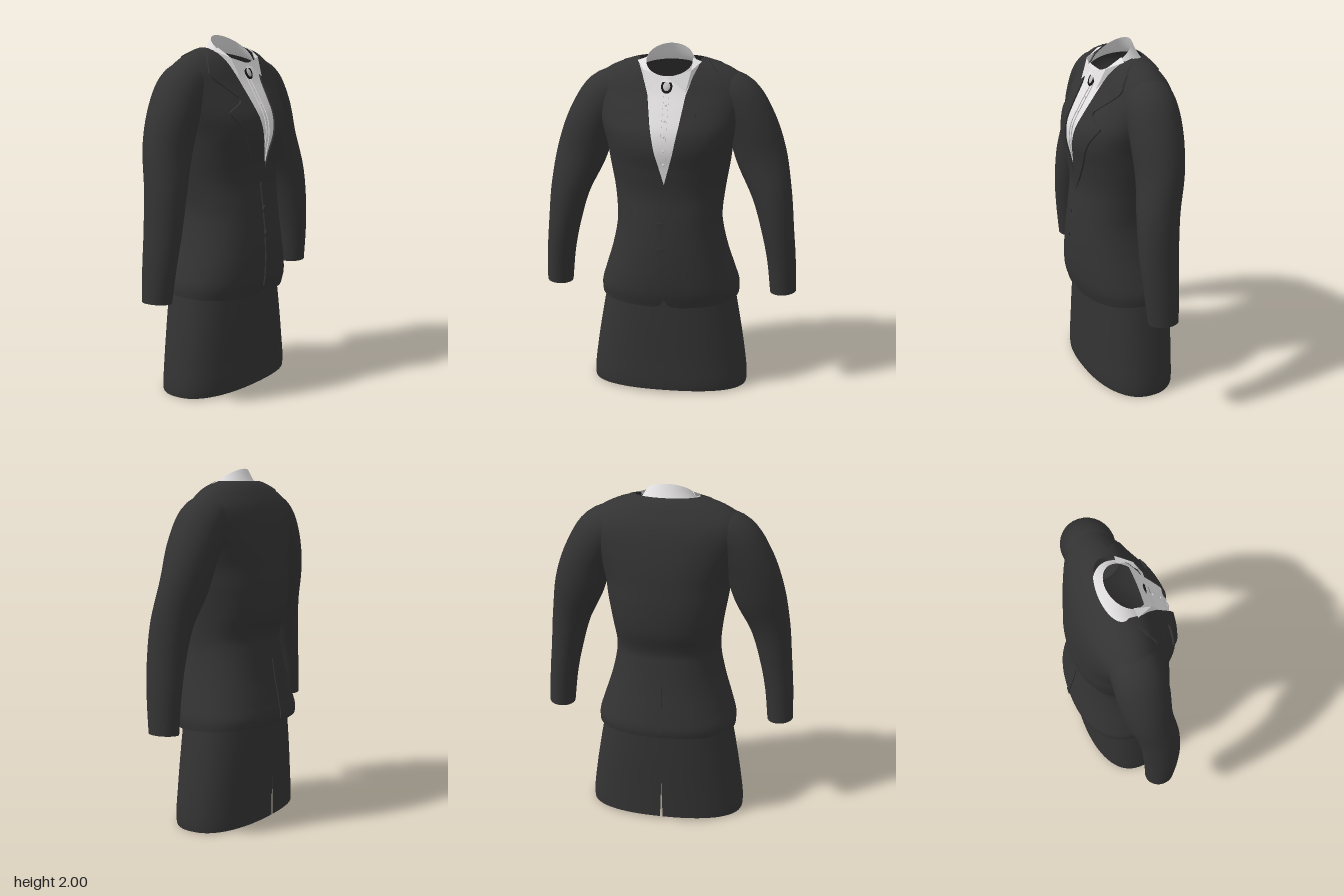
import * as THREE from 'three';
import { toCreasedNormals } from 'three/addons/utils/BufferGeometryUtils.js';

const { lerp, smoothstep } = THREE.MathUtils;
const table = (rows, Kind) => {
  const f = new Kind(rows.map(r => r[0]), rows.flatMap(r => r.slice(1)), rows[0].length - 1);
  return t => [...f.evaluate(t)];
};
const smooth = rows => table(rows, THREE.CubicInterpolant);
const linear = rows => table(rows, THREE.LinearInterpolant);

// Jacket cross-sections: height, half width, front z, back z
const jacketAt = smooth([
  [0.548, 0.402, 0.275, -0.297], [0.62, 0.403, 0.295, -0.308], [0.7, 0.38, 0.303, -0.293],
  [0.85, 0.333, 0.302, -0.26], [1.0, 0.302, 0.29, -0.235], [1.06, 0.3, 0.283, -0.228],
  [1.2, 0.315, 0.267, -0.265], [1.35, 0.34, 0.28, -0.275], [1.47, 0.358, 0.298, -0.268],
  [1.56, 0.385, 0.283, -0.26], [1.65, 0.412, 0.235, -0.245], [1.75, 0.432, 0.175, -0.22],
  [1.81, 0.415, 0.145, -0.195], [1.86, 0.365, 0.118, -0.163], [1.9, 0.285, 0.09, -0.133],
  [1.932, 0.18, 0.06, -0.1],
]);
// Skirt cross-sections, same layout
const skirtAt = smooth([
  [0, 0.458, 0.25, -0.25], [0.03, 0.46, 0.253, -0.25], [0.2, 0.442, 0.25, -0.25],
  [0.4, 0.41, 0.247, -0.252], [0.62, 0.37, 0.24, -0.25],
]);
// Half width of the jacket opening: hem corner, closed front, neckline V
const openingAt = linear([
  [0.548, 0.06], [0.556, 0.032], [0.575, 0.012], [0.605, 0], [1.27, 0], [1.45, 0.05],
  [1.6, 0.08], [1.75, 0.105], [1.85, 0.14], [1.9, 0.165], [1.932, 0.17],
]);
// Outer edge of the lapel with its notch
const lapelAt = linear([
  [1.18, 0.02], [1.34, 0.12], [1.5, 0.2], [1.57, 0.25], [1.592, 0.262], [1.605, 0.24],
  [1.645, 0.165], [1.665, 0.165], [1.72, 0.23], [1.775, 0.29], [1.8, 0.298], [1.87, 0.265], [1.92, 0.215],
]);

// Cross-sections are slightly square, and round at the neck
const squareness = y => lerp(0.87, 1, smoothstep(y, 1.78, 1.92));
const pow = (v, e) => Math.sign(v) * Math.abs(v) ** e;
const ringPoint = ([a, f, b], y, t, off = 0) => [
  (a + off) * pow(Math.sin(t), squareness(y)), y,
  (f + b) / 2 + ((f - b) / 2 + off) * pow(Math.cos(t), squareness(y)),
];
const angleFor = (x, a, y) => Math.asin(Math.min(1, x / a) ** (1 / squareness(y)));
// Depth of the jacket at x, y; side is 1 for front and -1 for back
const depth = (x, y, side = 1) => {
  const [a, f, b] = jacketAt(y);
  return (f + b) / 2 + side * (f - b) / 2 * Math.cos(angleFor(Math.abs(x), a, y)) ** squareness(y);
};

// Surface from a rule over u (across) and v (up)
function grid(nu, nv, rule) {
  const pos = [], index = [];
  for (let j = 0; j <= nv; j++) for (let i = 0; i <= nu; i++) pos.push(...rule(i / nu, j / nv));
  for (let j = 0; j < nv; j++) for (let i = 0; i < nu; i++) {
    const a = j * (nu + 1) + i, c = a + nu + 1;
    index.push(a, a + 1, c + 1, a, c + 1, c);
  }
  const g = new THREE.BufferGeometry();
  g.setAttribute('position', new THREE.Float32BufferAttribute(pos, 3));
  g.setIndex(index);
  return toCreasedNormals(g, 0.9);
}

// Raised patch lying on the jacket; its side edges turn in to the surface
function patch(y0, y1, left, right, off, side = 1, rows = 60) {
  const n = 10;
  return grid(n, rows, (u, v) => {
    const i = Math.round(u * n), y = lerp(y0, y1, v);
    const k = Math.min(1, Math.max(0, (i - 1) / (n - 2)));
    const x = lerp(left(y), right(y), k);
    const lift = i === 0 || i === n ? 0 : off(k);
    return [side * x, y, depth(x, y, side) + side * lift];
  });
}

export function createModel() {
  const model = new THREE.Group();
  const mat = (name, color) => {
    const m = new THREE.MeshStandardMaterial({ color, side: THREE.DoubleSide });
    m.name = name;
    return m;
  };
  const suit = mat('charcoal cloth', 0x333333);
  const white = mat('shirt white', 0xe2e0e0);
  const black = mat('black trim', 0x161616);
  const silver = mat('pale stone', 0xc4c4c4);
  const add = (name, geometry, material, parent = model) => {
    const m = new THREE.Mesh(geometry, material);
    m.name = name;
    parent.add(m);
    return m;
  };

  // Jacket body, open at the neckline and the hem corner
  add('jacketBody', grid(72, 120, (u, v) => {
    const y0 = lerp(0.548, 1.932, v);
    const gap = angleFor(openingAt(y0)[0], jacketAt(y0)[0], y0);
    const t = lerp(gap, 2 * Math.PI - gap, u);
    const y = y0 + (1 - v) ** 4 * 0.017 * (1 - Math.cos(t));
    return ringPoint(jacketAt(y), y, t);
  }), suit);

  // Overlapping front edge and buttons
  add('frontOverlap', patch(0.6, 1.24, () => -0.03, () => 0.1, k => 0.009 * (1 - k)), suit);
  for (const y of [1.04, 0.9]) {
    const b = add('jacketButton', new THREE.CylinderGeometry(0.019, 0.02, 0.008, 20), suit);
    b.rotation.x = Math.PI / 2;
    b.position.set(-0.02, y, depth(0.02, y) + 0.01);
  }

  // Collar band round the back of the neck
  add('jacketCollar', grid(40, 8, (u, v) => {
    const t = lerp(0.47, 1.53, u) * Math.PI;
    const low = 1.912 - 0.055 * Math.abs(Math.cos(t)) ** 1.3;
    const y = lerp(low, 1.932, Math.max(0, (v * 8 - 1) / 7));
    return ringPoint(jacketAt(y), y, t, v === 0 || v === 1 ? 0 : 0.008);
  }), suit);

  // Sleeve rings: distance, centre x, y, z, radius across, radius in depth
  const sleeveAt = smooth([
    [0, 0.22, 1.765, -0.03, 0.115, 0.125], [0.15, 0.355, 1.712, -0.02, 0.14, 0.14],
    [0.3, 0.442, 1.585, -0.014, 0.143, 0.142], [0.5, 0.515, 1.385, -0.002, 0.143, 0.128],
    [0.7, 0.58, 1.18, 0.036, 0.113, 0.116], [0.9, 0.62, 0.97, 0.048, 0.092, 0.108],
    [1.08, 0.645, 0.8, 0.045, 0.082, 0.098], [1.28, 0.661, 0.6, 0.037, 0.075, 0.085],
  ]);
  const sleeve = grid(32, 48, (u, v) => {
    const d = v * 1.28, [x, y, z, r, rz] = sleeveAt(d);
    const p = sleeveAt(Math.max(0, d - 0.01)), q = sleeveAt(Math.min(1.28, d + 0.01));
    const dx = q[0] - p[0], dy = q[1] - p[1], len = Math.hypot(dx, dy), t = u * 2 * Math.PI;
    const c = r * Math.cos(t) / len;
    return [x - dy * c, y + dx * c, z + rz * Math.sin(t)];
  });
  const lapel = patch(1.18, 1.92, y => openingAt(y)[0], y => lapelAt(y)[0], () => 0.01, 1, 120);

  // Shirt collar wing: folded leaf with three faces
  const wing = new THREE.BufferGeometry();
  wing.setAttribute('position', new THREE.Float32BufferAttribute([
    0.003, 1.845, 0.166, 0.105, 1.77, 0.182, 0.13, 1.88, 0.137,
    0.13, 1.88, 0.137, 0.105, 1.77, 0.182, 0.178, 1.918, 0.052,
    0.13, 1.88, 0.137, 0.178, 1.918, 0.052, 0.128, 1.935, 0.045,
  ], 3));
  wing.computeVertexNormals();

  for (const s of [1, -1]) {
    const half = new THREE.Group();
    half.name = s > 0 ? 'leftSide' : 'rightSide';
    half.scale.x = s;
    model.add(half);
    add('sleeve', sleeve, suit, half);
    add('lapel', lapel, suit, half);
    add('shirtCollarWing', wing, white, half);
  }

  // Shirt front with its button strip
  const under = y => openingAt(y)[0] + 0.03;
  add('shirtFront', patch(1.24, 1.845, y => -under(y), under, () => -0.008), white);
  add('shirtPlacket', patch(1.28, 1.82, () => -0.014, () => 0.014, () => -0.005), white);
  for (let i = 0; i < 5; i++) {
    const y = 1.7 - i * 0.078;
    const b = add('shirtButton', new THREE.SphereGeometry(0.007, 10, 8), white);
    b.position.set(0, y, depth(0, y) - 0.003);
    b.scale.z = 0.4;
  }

  // Shirt collar: sloping band, low at the front and high at the back
  add('shirtCollar', grid(48, 6, (u, v) => {
    const t = u * 2 * Math.PI, c = Math.cos(t), w = v ** 0.8;
    const y = lerp(1.862 - 0.042 * c, 1.925 - 0.075 * c, v);
    return [lerp(0.186, 0.13, w) * Math.sin(t), y,
      lerp(0.029, 0.047, w) + lerp(0.141, 0.107, w) * c];
  }), white);

  // Neck brooch
  const brooch = new THREE.Group();
  brooch.name = 'brooch';
  brooch.position.set(0, 1.795, depth(0, 1.795) + 0.012);
  brooch.rotation.x = -0.4;
  brooch.scale.y = 1.25;
  model.add(brooch);
  add('broochRim', new THREE.TorusGeometry(0.025, 0.006, 8, 28), black, brooch);
  add('broochStone', new THREE.SphereGeometry(0.022, 18, 12), silver, brooch).scale.z = 0.35;

  // Vent in the back of the jacket
  const ventEdge = y => 0.016 * (0.95 - y) / 0.35;
  add('backVent', patch(0.6, 0.94, y => -ventEdge(y), ventEdge, () => 0.006, -1), suit);

  // Skirt with a slit at the back hem
  add('skirt', grid(72, 40, (u, v) => {
    const y = v * 0.62, s = skirtAt(y);
    const gap = angleFor(Math.max(0, 0.008 * (1 - y / 0.26)), s[0], y);
    const t = lerp(-Math.PI + gap, Math.PI - gap, u);
    return ringPoint(s, y + 0.015 * (1 - v) ** 6 * Math.cos(t) ** 2, t);
  }), suit);

  return model;
}
